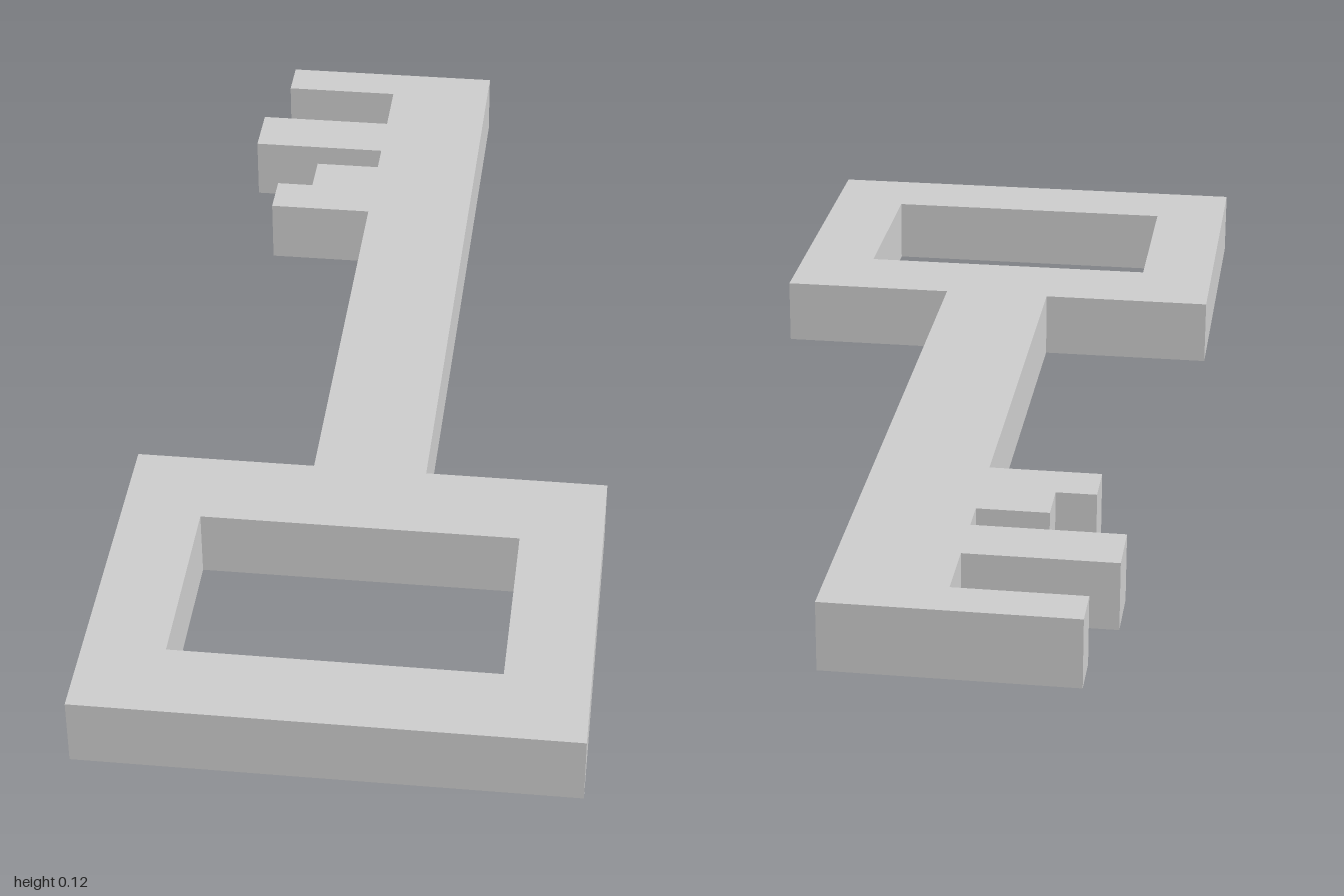
import * as THREE from 'three';

const THICKNESS = 0.118;

// Turns [x, z] plan points into 2D points (shape y runs towards -z)
const plan = (points) => points.map(([x, z]) => new THREE.Vector2(x, -z));

export function createModel() {
  const group = new THREE.Group();
  group.name = 'key';

  const outline = new THREE.Shape(plan([
    // bow (handle) and right edge of the shaft
    [-0.41, 1], [0.41, 1], [0.41, 0.353], [0.096, 0.353], [0.096, -1],
    // end tooth
    [-0.317, -1], [-0.317, -0.921], [-0.1, -0.921],
    // long middle tooth
    [-0.1, -0.8], [-0.354, -0.8], [-0.354, -0.694], [-0.1, -0.694],
    // stepped tooth
    [-0.1, -0.631], [-0.222, -0.631], [-0.222, -0.55],
    [-0.291, -0.55], [-0.291, -0.466], [-0.1, -0.466],
    // back along the shaft to the bow
    [-0.1, 0.353], [-0.41, 0.353],
  ]));

  // rectangular window in the bow
  outline.holes.push(new THREE.Path(plan([
    [-0.274, 0.513], [0.27, 0.513], [0.27, 0.855], [-0.274, 0.855],
  ])));

  // lay the extruded plate flat on the ground
  const geometry = new THREE.ExtrudeGeometry(outline, { depth: THICKNESS, bevelEnabled: false });
  geometry.rotateX(-Math.PI / 2);

  const body = new THREE.Mesh(
    geometry,
    new THREE.MeshStandardMaterial({ color: 0xcccccc, flatShading: true }),
  );
  body.name = 'keyBody';
  group.add(body);
  return group;
}
